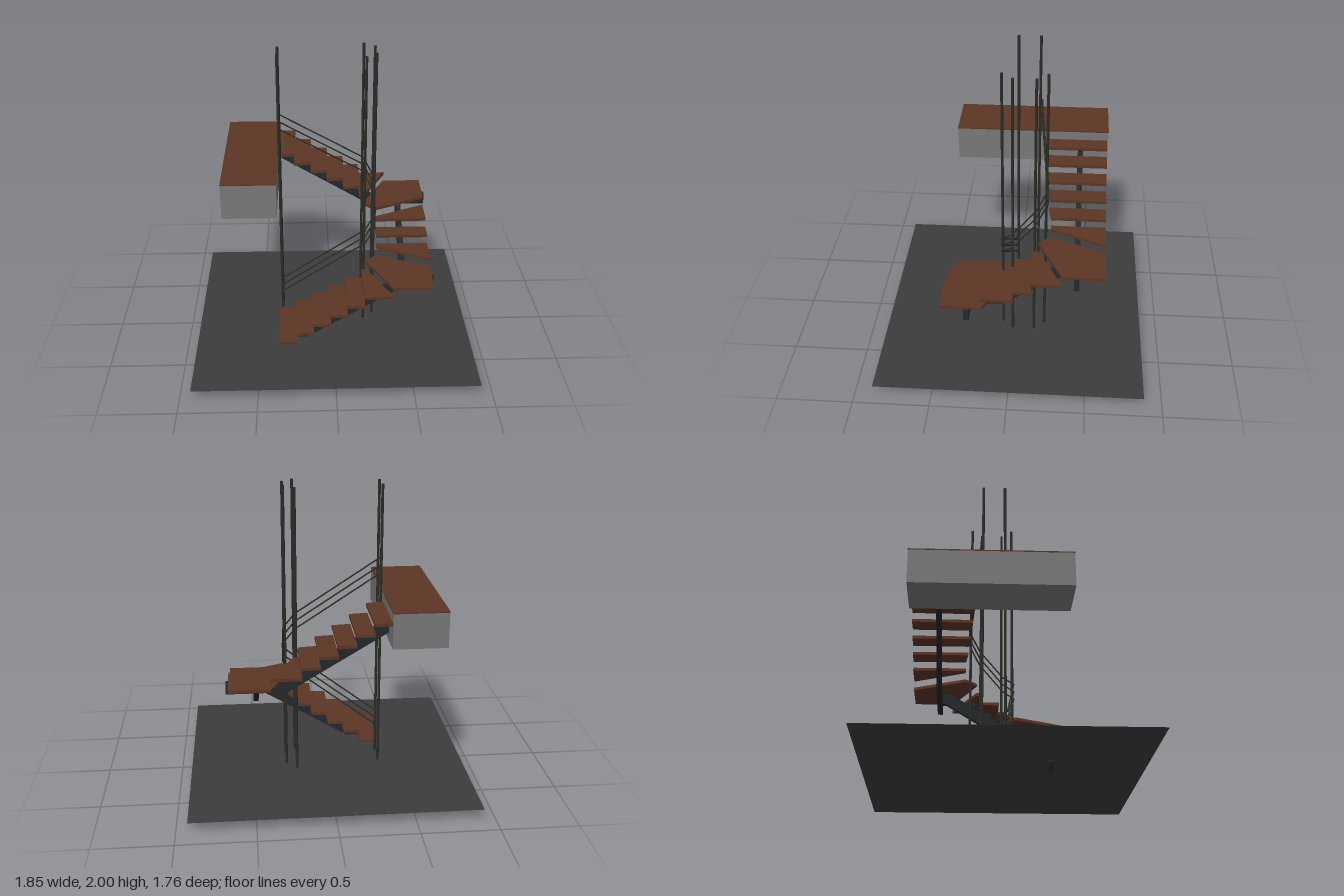
import * as THREE from 'three';

const MID_Z = -0.0725;               // the stair is mirrored about this plane
const mirrorZ = z => 2 * MID_Z - z;
const RISE = 0.0681, FIRST = 0.122, THICK = 0.02;
const under = k => FIRST + RISE * k; // underside height of tread k

const mat = color => new THREE.MeshStandardMaterial({ color });
const wood = mat(0x5c3524), steel = mat(0x22282b), iron = mat(0x2a2c27), concrete = mat(0x777777);
const floorMat = new THREE.MeshStandardMaterial({ color: 0x3c3c3c, side: THREE.DoubleSide });

function add(parent, name, geometry, material, x = 0, y = 0, z = 0) {
  const mesh = new THREE.Mesh(geometry, material);
  mesh.name = name;
  mesh.position.set(x, y, z);
  parent.add(mesh);
  return mesh;
}

function extrude(points, depth) {
  const shape = new THREE.Shape(points.map(p => new THREE.Vector2(p[0], p[1])));
  return new THREE.ExtrudeGeometry(shape, { depth, bevelEnabled: false });
}

// Horizontal slab from a plan outline of [x, z] points
function slab(plan) {
  return extrude(plan.map(([x, z]) => [x, -z]), THICK).rotateX(-Math.PI / 2);
}

// Rod between two points
function rod(parent, name, a, b, radius, material) {
  const dir = b.clone().sub(a);
  const mesh = add(parent, name, new THREE.CylinderGeometry(radius, radius, dir.length(), 8), material);
  mesh.position.copy(a).addScaledVector(dir, 0.5);
  mesh.quaternion.setFromUnitVectors(new THREE.Vector3(0, 1, 0), dir.normalize());
}

// Plan outlines of the lower half of the treads, up to the middle one
function treadPlans() {
  const inner = x => 0.025 + (x + 0.37) * 0.126;
  const plans = [];
  for (let k = 0; k < 5; k++) {
    const a = -0.37 + k * 0.1128, b = a + 0.122;
    plans.push([[a, inner(a)], [b, inner(b)], [b, 0.457], [a, 0.457]]);
  }
  plans.push([[0.195, inner(0.195)], [0.232, 0.1], [0.395, 0.457], [0.195, 0.457]]);
  plans.push([[0.225, 0.1], [0.305, 0.02], [0.656, 0.185], [0.656, 0.457], [0.39, 0.457]]);
  plans.push([[0.305, 0.022], [0.305, -0.018], [0.656, -0.018], [0.656, 0.19]]);
  plans.push([[0.305, -0.012], [0.305, -0.133], [0.656, -0.133], [0.656, -0.012]]);
  return plans;
}

// Cranked stringer with tread brackets, drawn in (run, height) and turned into place.
// brackets: [tread number, front of tread along the run]; topLine: [run, height] on the sloping top edge
function stringer(parent, name, outline, topLine, brackets, turn, x, z) {
  const group = new THREE.Group();
  group.name = name;
  const width = 0.035;
  add(group, 'stringerBeam', extrude(outline, width).translate(0, 0, -width / 2), steel);
  const top = u => topLine[1] + 0.605 * (u - topLine[0]);
  for (const [k, u] of brackets) {
    const y = under(k), back = u + 0.118;
    const plate = [
      [u + 0.025, y], [u + 0.065, top(u + 0.065) - 0.01],
      [back, Math.min(top(back), y) - 0.012], [back, y],
    ];
    add(group, 'treadBracket', extrude(plate, 0.03).translate(0, 0, -0.015), steel);
  }
  group.rotation.y = turn;
  group.position.set(x, 0, z);
  parent.add(group);
}

export function createModel() {
  const model = new THREE.Group();
  model.name = 'windingStaircase';

  // Floor, with the foot of the lowest stringer set into it
  add(model, 'floor', new THREE.PlaneGeometry(1.85, 1.76).rotateX(-Math.PI / 2), floorMat, 0, 0.075, 0);

  // Treads: lower half, then the same plans mirrored for the upper half
  const treads = new THREE.Group();
  treads.name = 'treads';
  model.add(treads);
  treadPlans().forEach((plan, k) => {
    add(treads, 'tread', slab(plan), wood, 0, under(k), 0);
    if (k < 8) {
      const mirrored = plan.map(([x, z]) => [x, mirrorZ(z)]);
      add(treads, 'tread', slab(mirrored), wood, 0, under(16 - k), 0);
    }
  });

  // Stringers of the three flights
  const front = k => -0.37 + k * 0.1128;
  const lower = [], upper = [];
  for (let k = 0; k < 6; k++) {
    lower.push([k, front(k)]);
    upper.push([16 - k, -front(k) - 0.122]);
  }
  stringer(model, 'lowerStringer',
    [[-0.3, 0], [0.45, 0.455], [0.672, 0.455], [0.672, 0.53], [0.445, 0.53], [-0.338, 0.06]],
    [0.445, 0.53], lower, 0, 0, 0.282);
  stringer(model, 'middleStringer',
    [[-0.3, 0.455], [-0.07, 0.455], [0.375, 0.73], [0.44, 0.73], [0.44, 0.807], [0.35, 0.807], [-0.1, 0.53], [-0.3, 0.53]],
    [-0.1, 0.53], [[7, -0.1], [8, 0.012], [9, 0.125]], Math.PI / 2, 0.477, 0);
  stringer(model, 'upperStringer',
    [[-0.672, 0.73], [-0.28, 0.73], [0.367, 1.118], [0.367, 1.207], [-0.29, 0.807], [-0.672, 0.807]],
    [-0.29, 0.81], upper, Math.PI, 0, -0.422);

  // Upper landing: block with a wooden top
  add(model, 'landingBlock', new THREE.BoxGeometry(0.348, 0.23, 1.035), concrete, -0.536, 1.178, -0.0925);
  add(model, 'landingTop', new THREE.BoxGeometry(0.35, 0.008, 1.037), wood, -0.536, 1.296, -0.0925);

  // Tall posts around the open well
  for (const [x, z] of [[-0.35, 0.005], [0.212, 0.075], [0.28, 0.005]]) {
    for (const pz of [z, -0.135 - z]) {
      add(model, 'post', new THREE.CylinderGeometry(0.009, 0.009, 1.925, 12), iron, x, 1.0375, pz);
    }
  }

  // Three parallel rails climbing around the posts
  const path = [
    [-0.358, 0.37, 0.018], [0.22, 0.788, 0.087], [0.291, 0.87, 0.012],
    [0.291, 1.065, -0.147], [0.22, 1.185, -0.222], [-0.358, 1.538, -0.153],
  ];
  const rails = new THREE.Group();
  rails.name = 'handrails';
  model.add(rails);
  for (let i = 0; i < 3; i++) {
    const pts = path.map(([x, y, z]) => new THREE.Vector3(x, y - i * 0.053, z));
    for (let j = 0; j < pts.length - 1; j++) rod(rails, 'rail', pts[j], pts[j + 1], 0.005, iron);
  }
  return model;
}
